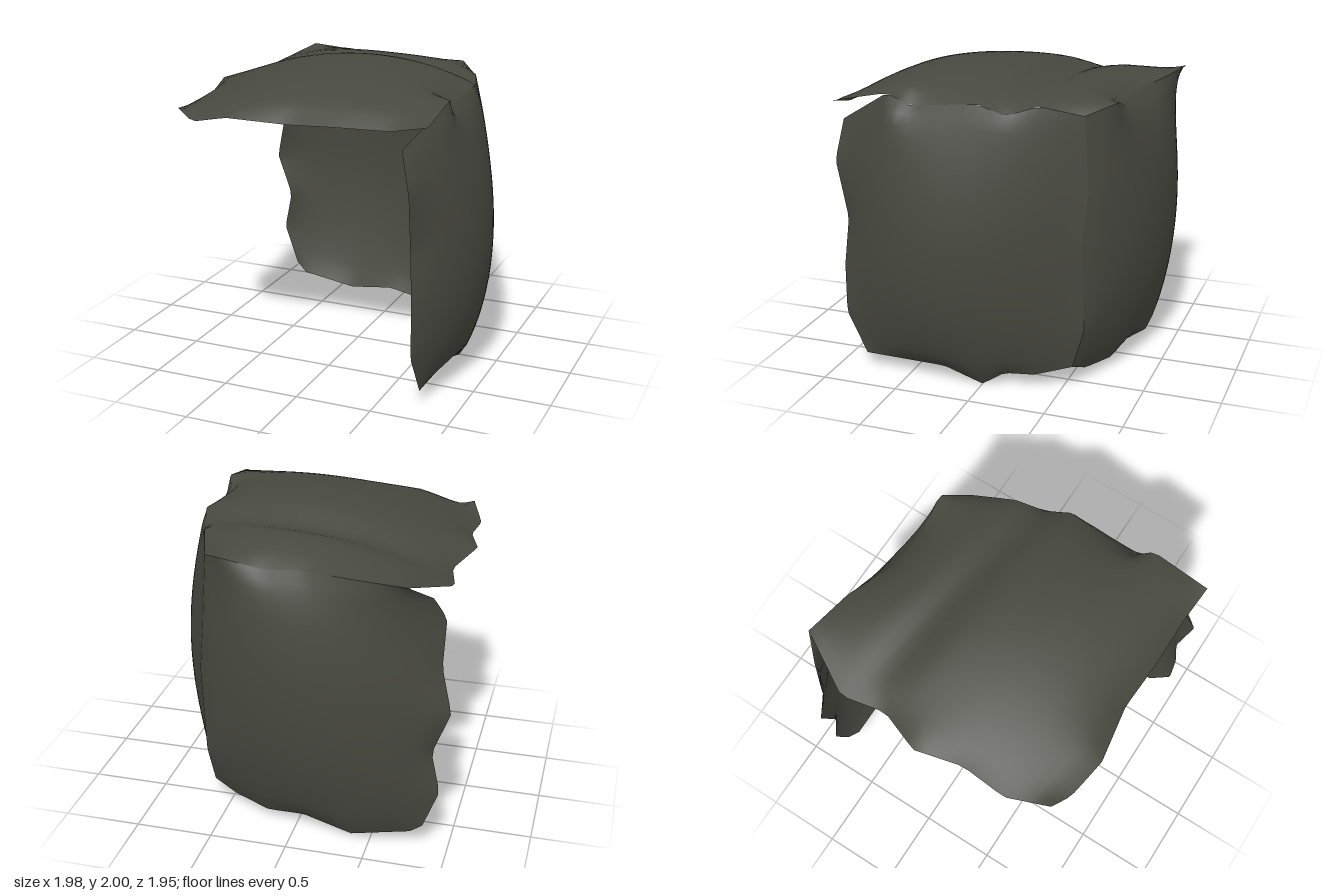
import * as THREE from 'three';

const N = 28; // grid cells along each side of a sheet

const V = (list) => list.map((p) => new THREE.Vector3(...p));

// Samples a straight-segment edge at N + 1 even steps.
function sampleEdge(points) {
  const path = new THREE.CurvePath();
  for (let i = 1; i < points.length; i++) path.add(new THREE.LineCurve3(points[i - 1], points[i]));
  return Array.from({ length: N + 1 }, (_, i) => path.getPointAt(i / N));
}

// Rise across a sheet: t is 0..1, skew moves the crest, power sets how square it is,
// and an optional valley of the given depth lies at dipAt.
function rise(t, { skew = 1, power = 0.75, dipAt = 0.5, dip = 0 }) {
  const s = Math.pow(t, skew);
  return Math.pow(4 * s * (1 - s), power) * (1 - dip * Math.exp(-(((t - dipAt) / 0.075) ** 2)));
}

// Fills four ragged edges with a smooth sheet that swells along one direction.
// a and b run the same way and face each other; c joins their starts, d their ends.
function sheet(name, material, [a, b, c, d], out, swell, crossU, crossV) {
  const [A, B, C, D] = [a, b, c, d].map((e) => sampleEdge(V(e)));
  const at = (i, j) => j * (N + 1) + i;
  const P = [];
  for (let j = 0; j <= N; j++) {
    for (let i = 0; i <= N; i++) {
      const u = i / N, v = j / N;
      const p = new THREE.Vector3()
        .addScaledVector(A[i], 1 - v).addScaledVector(B[i], v)
        .addScaledVector(C[j], 1 - u).addScaledVector(D[j], u)
        .addScaledVector(A[0], -(1 - u) * (1 - v)).addScaledVector(A[N], -u * (1 - v))
        .addScaledVector(B[0], -(1 - u) * v).addScaledVector(B[N], -u * v);
      P.push(p);
    }
  }
  // relax the inside so that edge notches do not crease the whole sheet
  for (let pass = 0; pass < 80; pass++) {
    for (let j = 1; j < N; j++) {
      for (let i = 1; i < N; i++) {
        P[at(i, j)].copy(P[at(i - 1, j)]).add(P[at(i + 1, j)])
          .add(P[at(i, j - 1)]).add(P[at(i, j + 1)]).multiplyScalar(0.25);
      }
    }
  }
  const dir = new THREE.Vector3(...out);
  const index = [];
  for (let j = 0; j <= N; j++) {
    for (let i = 0; i <= N; i++) {
      P[at(i, j)].addScaledVector(dir, swell * rise(i / N, crossU) * rise(j / N, crossV));
      if (i < N && j < N) {
        index.push(at(i, j), at(i + 1, j), at(i + 1, j + 1), at(i, j), at(i + 1, j + 1), at(i, j + 1));
      }
    }
  }
  const geometry = new THREE.BufferGeometry().setFromPoints(P);
  geometry.setIndex(index);
  geometry.computeVertexNormals();
  // turn the faces outward
  const n = geometry.attributes.normal, mid = at(N / 2, N / 2);
  if (new THREE.Vector3().fromBufferAttribute(n, mid).dot(dir) < 0) {
    geometry.setIndex(index.reverse());
    geometry.computeVertexNormals();
  }
  const mesh = new THREE.Mesh(geometry, material);
  mesh.name = name;
  return mesh;
}

export function createModel() {
  const stone = new THREE.MeshStandardMaterial({ color: 0x47483f, side: THREE.DoubleSide });
  stone.name = 'darkStone';
  const group = new THREE.Group();
  group.name = 'corner of three curved sheets';

  // seams shared by neighbouring sheets, all meeting at one corner
  const corner = [0.6, 1.79, -0.61];
  const upright = [[0.61, 0.15, -0.56], [0.63, 0.42, -0.64], [0.66, 1, -0.62], [0.62, 1.32, -0.65], corner];
  const topBack = [[-0.73, 1.85, -0.93], [-0.4, 1.84, -0.87], [-0.07, 1.81, -0.75], [0.2, 1.79, -0.74], [0.46, 1.85, -0.77], corner];
  const topSide = [[0.83, 1.89, 0.57], [0.77, 1.81, 0.45], [0.8, 1.86, 0], [0.75, 1.79, -0.17], [0.69, 1.85, -0.35], corner];

  group.add(sheet('backSheet', stone, [
    // bottom, top, left, right
    [[-0.84, 0.17, -0.79], [-0.76, 0.1, -0.77], [-0.38, 0.03, -0.79], [-0.05, 0.09, -0.74], [0.2, 0.06, -0.7], [0.45, 0.08, -0.6], upright[0]],
    topBack,
    [[-0.84, 0.17, -0.79], [-0.94, 0.44, -0.8], [-0.88, 0.71, -0.79], [-0.99, 1, -0.8], [-0.92, 1.29, -0.77], [-0.93, 1.6, -0.74], [-0.86, 1.75, -0.81], topBack[0]],
    upright,
  ], [0, 0, -1], 0.22, {}, {}));

  group.add(sheet('sideSheet', stone, [
    // bottom, top, front, back
    [[0.75, 0.1, 0.81], [0.75, 0.09, 0.26], [0.74, 0, 0], [0.72, 0.09, -0.14], [0.68, 0.09, -0.33], upright[0]],
    [[0.67, 1.66, 0.95], ...topSide],
    [[0.75, 0.1, 0.81], [0.74, 0.37, 0.95], [0.74, 0.7, 0.95], [0.72, 1.02, 0.92], [0.73, 1.4, 0.99], [0.67, 1.66, 0.95]],
    upright,
  ], [1, 0, 0], 0.235, { skew: 0.85, power: 1.2 }, { skew: 0.92 }));

  group.add(sheet('topSheet', stone, [
    // front, back, left, right
    [[-0.84, 1.75, 0.87], [-0.71, 1.69, 0.93], [-0.45, 1.75, 0.98], [-0.07, 1.73, 0.92], [0.25, 1.75, 0.94], [0.6, 1.76, 0.94], [0.83, 1.81, 0.96]],
    topBack,
    [[-0.84, 1.75, 0.87], [-0.93, 1.7, 0.6], [-0.91, 1.73, 0.3], [-0.99, 1.76, 0], [-0.88, 1.72, -0.28], [-0.94, 1.73, -0.56], topBack[0]],
    [[0.83, 1.81, 0.96], ...topSide],
  ], [0, 1, 0], 0.22, { skew: 1.1 }, { skew: 0.85, dipAt: 0.72, dip: 0.4 }));

  return group;
}
